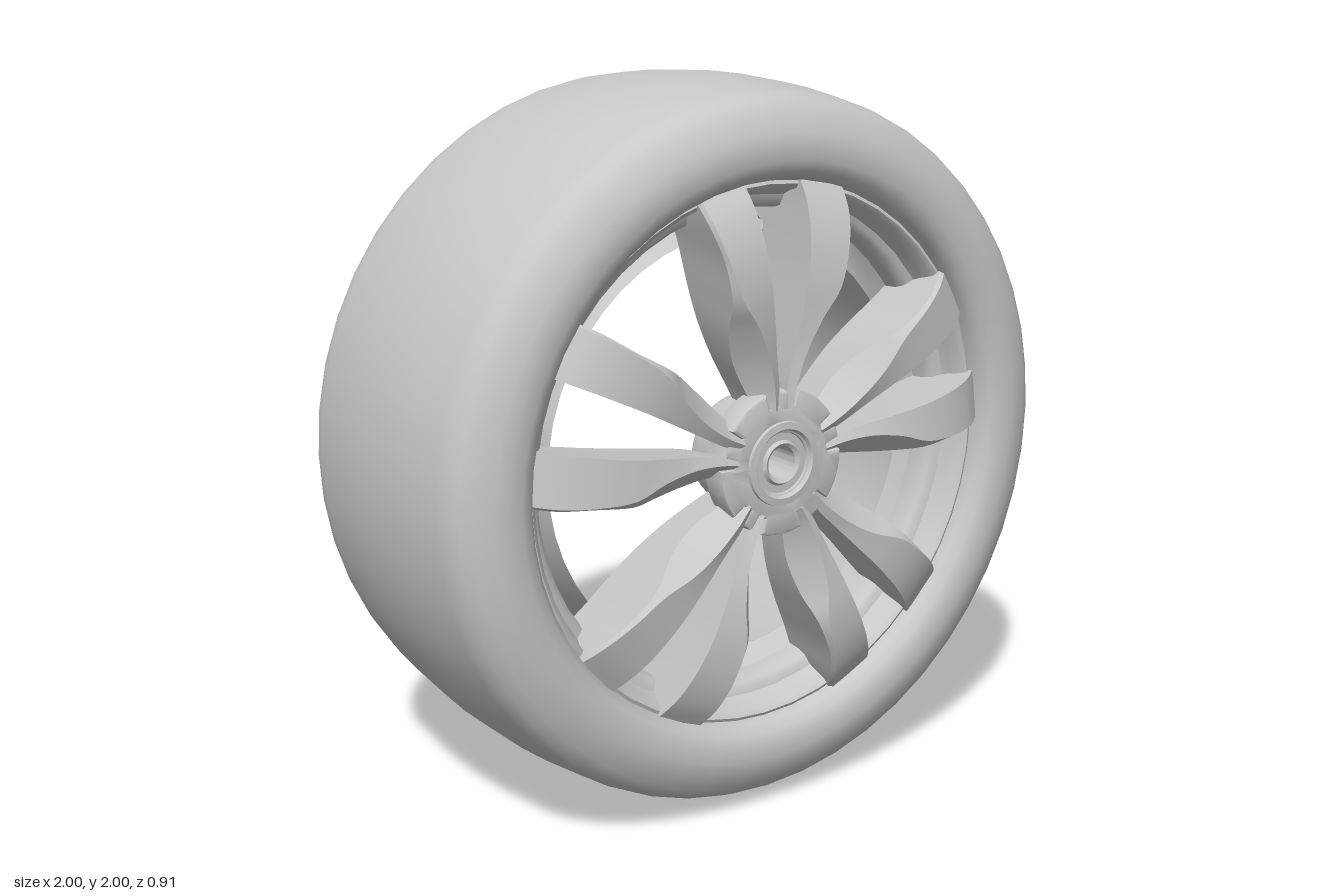
import * as THREE from 'three';
import { toCreasedNormals } from 'three/addons/utils/BufferGeometryUtils.js';

const grey = new THREE.MeshStandardMaterial({ color: 0xc8c8c8, side: THREE.DoubleSide });
grey.name = 'plainGrey';

function part(name, geometry) {
  const mesh = new THREE.Mesh(geometry, grey);
  mesh.name = name;
  return mesh;
}

// Ring turned around the z axis from [radius, z] points
function ring(name, profile, crease) {
  const geo = new THREE.LatheGeometry(profile.map(([r, z]) => new THREE.Vector2(r, z)), 48);
  geo.rotateX(Math.PI / 2);
  return part(name, crease ? toCreasedNormals(geo, crease) : geo);
}

// Spoke stations: radius, inner edge, ridge, outer edge, ridge z, outer edge z, back z
const STATIONS = [
  [0.15, 0.008, 0.028, 0.062, 0.425, 0.385, 0.26],
  [0.21, 0.013, 0.036, 0.082, 0.430, 0.365, 0.24],
  [0.30, 0.028, 0.060, 0.122, 0.438, 0.360, 0.23],
  [0.40, 0.045, 0.105, 0.158, 0.450, 0.390, 0.22],
  [0.49, 0.060, 0.160, 0.180, 0.456, 0.435, 0.21],
  [0.60, 0.075, 0.196, 0.202, 0.443, 0.430, 0.20],
  [0.69, 0.086, 0.219, 0.226, 0.410, 0.397, 0.20],
  [0.755, 0.092, 0.230, 0.238, 0.365, 0.350, 0.22],
];

// Lofted spoke; side = 1 or -1 picks one of the mirrored pair
function spokeGeometry(side) {
  const steps = 28, corners = 5;
  const rails = Array.from({ length: corners }, (_, k) => new THREE.CatmullRomCurve3(
    STATIONS.map(([r, a, c, b, zt, zo, zb]) => {
      const [x, z] = [[a + 0.02, zb], [a, zt - 0.012], [c, zt], [b, zo], [b - 0.02, zb]][k];
      return new THREE.Vector3(side * x, r - 0.28 * (x - a), z);
    })));
  const pos = [], index = [];
  const tri = (a, b, c) => (side > 0 ? index.push(a, b, c) : index.push(a, c, b));
  for (let i = 0; i <= steps; i++) {
    for (const rail of rails) pos.push(...rail.getPoint(i / steps).toArray());
  }
  for (let i = 0; i < steps; i++) {
    for (let j = 0; j < corners; j++) {
      const a = i * corners + j, b = i * corners + (j + 1) % corners;
      tri(a, b, b + corners);
      tri(a, b + corners, a + corners);
    }
  }
  // End caps
  const end = steps * corners;
  for (let k = 1; k < corners - 1; k++) {
    tri(0, k + 1, k);
    tri(end, end + k, end + k + 1);
  }
  const geo = new THREE.BufferGeometry();
  geo.setAttribute('position', new THREE.Float32BufferAttribute(pos, 3));
  geo.setIndex(index);
  return toCreasedNormals(geo, 0.45);
}

// Hub plate with a notch for every spoke
function hubPlateGeometry() {
  const shape = new THREE.Shape();
  const deg = Math.PI / 180;
  const at = (r, d, first) => {
    const x = r * Math.cos(d * deg), y = r * Math.sin(d * deg);
    first ? shape.moveTo(x, y) : shape.lineTo(x, y);
  };
  for (let i = 0; i < 5; i++) {
    const mid = 90 + i * 72;
    at(0.19, mid - 4, i === 0);
    at(0.19, mid + 4);
    at(0.15, mid + 5);
    at(0.15, mid + 18);
    for (let d = 18; d <= 54; d += 6) at(0.192, mid + d);
    at(0.15, mid + 54);
    at(0.15, mid + 67);
  }
  shape.closePath();
  shape.holes.push(new THREE.Path().absarc(0, 0, 0.09, 0, Math.PI * 2, true));
  const geo = new THREE.ExtrudeGeometry(shape, {
    depth: 0.06, bevelThickness: 0.01, bevelSize: 0.008, bevelSegments: 2, curveSegments: 24,
  });
  geo.translate(0, 0, 0.35);
  return toCreasedNormals(geo, 0.6);
}

export function createModel() {
  const wheel = new THREE.Group();
  wheel.name = 'wheel';

  // Tyre with rounded shoulders and a slightly crowned tread
  wheel.add(ring('tyre', [
    [0.725, -0.38], [0.735, -0.415], [0.76, -0.44], [0.80, -0.453], [0.84, -0.455], [0.875, -0.448],
    [0.92, -0.428], [0.95, -0.402], [0.967, -0.37], [0.975, -0.33], [0.99, -0.2], [0.998, -0.08],
    [0.998, 0.06], [0.99, 0.18], [0.975, 0.3], [0.967, 0.335], [0.95, 0.368], [0.92, 0.393],
    [0.875, 0.414], [0.84, 0.42], [0.80, 0.418], [0.77, 0.405], [0.75, 0.38], [0.742, 0.34], [0.74, 0.3],
  ]));

  // Front lip of the rim, stepping down behind the spoke tips
  wheel.add(ring('rimFrontLip', [
    [0.745, 0.35], [0.735, 0.355], [0.722, 0.345], [0.712, 0.31], [0.70, 0.285],
    [0.685, 0.28], [0.67, 0.27], [0.662, 0.245], [0.662, 0.2],
  ], 0.8));

  // Barrel opening toward the back, with a rolled rear lip
  wheel.add(ring('rimBarrel', [
    [0.595, 0.2], [0.605, 0.14], [0.625, 0.0], [0.645, -0.15], [0.665, -0.3], [0.675, -0.37],
    [0.685, -0.405], [0.70, -0.42], [0.715, -0.42], [0.725, -0.405], [0.73, -0.37],
  ].reverse(), 0.8));

  // Five mirrored pairs of spokes
  const spokes = new THREE.Group();
  spokes.name = 'spokes';
  const left = spokeGeometry(1), right = spokeGeometry(-1);
  for (let i = 0; i < 5; i++) {
    const pair = new THREE.Group();
    pair.name = 'spokePair';
    pair.add(part('leftSpoke', left), part('rightSpoke', right));
    pair.rotation.z = i * Math.PI * 2 / 5;
    spokes.add(pair);
  }
  wheel.add(spokes);

  // Hub core with a through bore and a raised front ring
  wheel.add(ring('hubCore', [
    [0.045, 0.2], [0.13, 0.2], [0.15, 0.215], [0.16, 0.25], [0.16, 0.36], [0.118, 0.41],
    [0.114, 0.428], [0.095, 0.43], [0.085, 0.412], [0.062, 0.412], [0.055, 0.422], [0.045, 0.415], [0.045, 0.2],
  ], 0.6));
  wheel.add(part('hubPlate', hubPlateGeometry()));

  wheel.position.y = 1;
  const model = new THREE.Group();
  model.name = 'wheelModel';
  model.add(wheel);
  return model;
}
